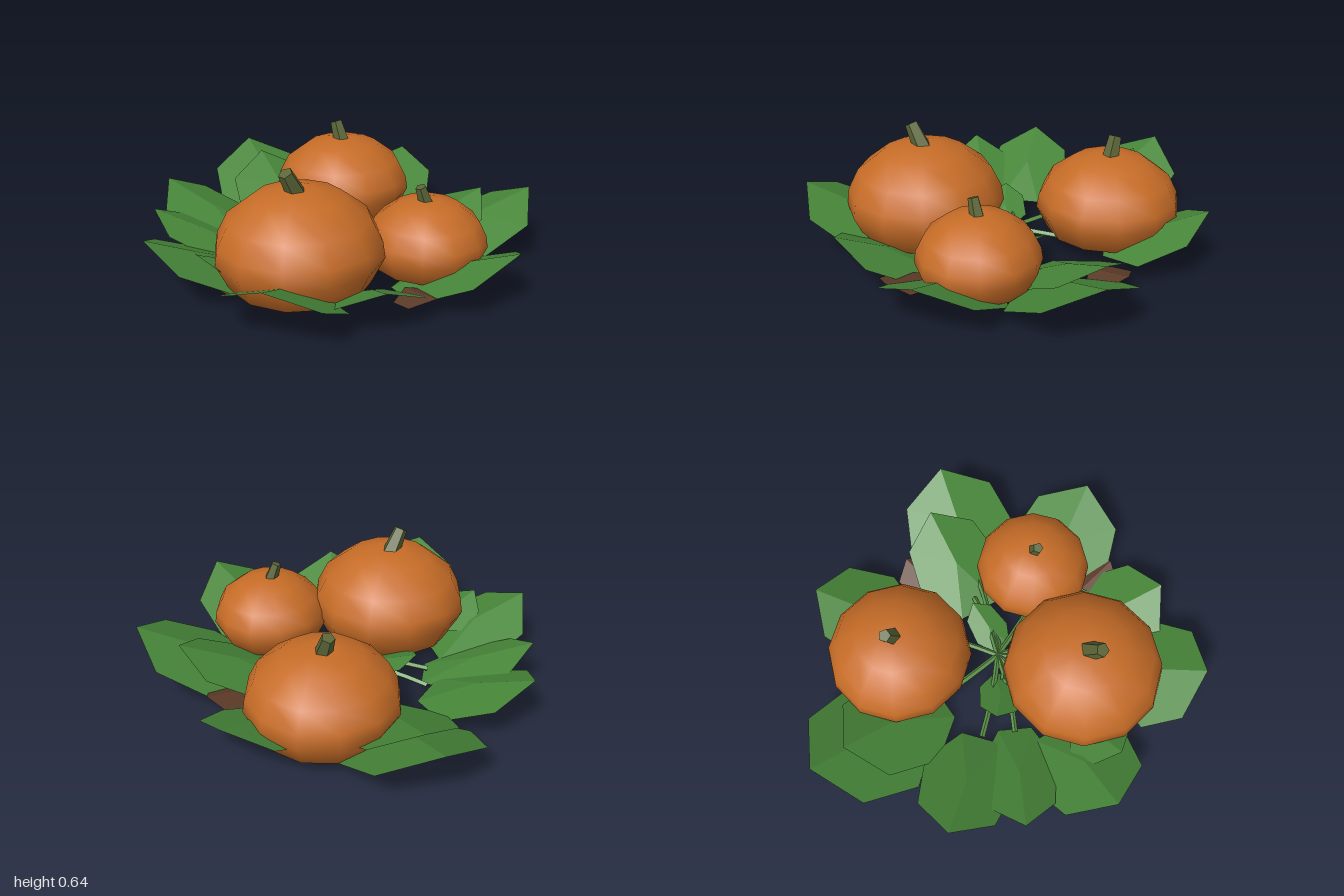
import * as THREE from 'three';

const mat = (color, extra = {}) => new THREE.MeshStandardMaterial({ color, ...extra });

export function createModel() {
  const model = new THREE.Group();
  const orange = mat(0xc66c27);
  const stemGreen = mat(0x5c6638, { flatShading: true });
  const green = mat(0x478639, { flatShading: true, side: THREE.DoubleSide });
  const vineGreen = mat(0x5c9348, { flatShading: true });
  const brown = mat(0x5c3a28, { flatShading: true, side: THREE.DoubleSide });

  const add = (geometry, material, name, parent = model) => {
    const mesh = new THREE.Mesh(geometry, material);
    mesh.name = name;
    parent.add(mesh);
    return mesh;
  };

  // Squat pumpkins: one unit profile scaled by radius and height
  const profile = [[0, 0], [0.5, 0.015], [0.84, 0.15], [1, 0.4], [0.97, 0.55],
    [0.84, 0.75], [0.52, 0.94], [0.2, 1], [0, 0.99]];
  const up = new THREE.Vector3(0, 1, 0);
  function pumpkin(name, x, z, radius, bottom, top, lean, stemRadius) {
    const group = new THREE.Group();
    group.name = name;
    group.position.set(x, bottom, z);
    const height = top - bottom;
    const points = profile.map(([r, h]) => new THREE.Vector2(r * radius, h * height));
    add(new THREE.LatheGeometry(points, 12), orange, 'pumpkinBody', group);

    // Leaning, tapered stem
    const dir = new THREE.Vector3(...lean);
    const stem = add(new THREE.CylinderGeometry(stemRadius * 0.7, stemRadius, dir.length(), 5),
      stemGreen, 'pumpkinStem', group);
    stem.position.set(0, height - 0.04, 0).addScaledVector(dir, 0.5);
    stem.quaternion.setFromUnitVectors(up, dir.normalize());
    model.add(group);
  }
  pumpkin('largePumpkin', -0.125, 0.385, 0.405, 0, 0.53, [-0.045, 0.135, 0.06], 0.05);
  pumpkin('mediumPumpkin', -0.05, -0.55, 0.367, 0.015, 0.48, [-0.04, 0.125, -0.03], 0.046);
  pumpkin('smallPumpkin', 0.455, 0.13, 0.298, 0.02, 0.41, [-0.035, 0.11, 0.02], 0.038);

  // Leaf: a pointed polygon facing outwards, sloping up to its tip and folded along its midrib
  function leaf(name, x, y, z, halfWidth, halfLength, material, sides, slope) {
    const distance = Math.hypot(x, z);
    const geometry = new THREE.CircleGeometry(1, sides, Math.PI / 2);
    const position = geometry.attributes.position;
    for (let i = 0; i < position.count; i++) {
      const across = position.getX(i) * halfWidth;
      const along = position.getY(i) * halfLength;
      const out = distance + along;
      position.setXYZ(i,
        (x * out - z * across) / distance,
        y + slope * along - 0.27 * Math.abs(across),
        (z * out + x * across) / distance);
    }
    // Face the upper side upwards
    const index = geometry.index.array;
    for (let i = 0; i < index.length; i += 3) [index[i], index[i + 1]] = [index[i + 1], index[i]];
    geometry.computeVertexNormals();
    add(geometry, material, name);
  }

  // Name, centre x, y and z, half width, half length
  const leaves = [
    ['backLeftLeaf', -0.5, 0.2, -0.68, 0.33, 0.31],
    ['backLeftUpperLeaf', -0.4, 0.18, -0.55, 0.28, 0.29],
    ['leftLeaf', -0.7, 0.18, -0.19, 0.25, 0.28],
    ['leftLowerLeaf', -0.65, 0.15, 0.07, 0.2, 0.28],
    ['frontLeftLeaf', -0.6, 0.18, 0.39, 0.29, 0.27],
    ['frontLeftUpperLeaf', -0.46, 0.19, 0.46, 0.16, 0.15],
    ['frontLeaf', -0.13, 0.225, 0.78, 0.3, 0.22],
    ['frontRightLeaf', 0.24, 0.15, 0.59, 0.26, 0.23],
    ['rightFrontLeaf', 0.61, 0.16, 0.29, 0.3, 0.31],
    ['rightLeaf', 0.7, 0.19, -0.27, 0.31, 0.29],
    ['rightUpperLeaf', 0.48, 0.16, -0.28, 0.25, 0.28],
    ['backRightLeaf', 0.19, 0.19, -0.74, 0.26, 0.26],
    ['innerLeftLeaf', -0.24, 0.13, -0.03, 0.12, 0.14],
    ['innerRightLeaf', 0.13, 0.12, -0.1, 0.1, 0.14],
  ];

  // Green leaves, each on a vine from the middle to its inner edge
  const hub = new THREE.Vector3(-0.02, 0.1, -0.05);
  for (const [name, x, y, z, halfWidth, halfLength] of leaves) {
    leaf(name, x, y, z, halfWidth, halfLength, green, 7, 0.42);
    const end = new THREE.Vector3(x * 0.65, y - 0.15 * Math.hypot(x, z), z * 0.65);
    const bend = new THREE.Vector3(x * 0.35, 0.09, z * 0.35);
    add(new THREE.TubeGeometry(new THREE.QuadraticBezierCurve3(hub, bend, end), 4, 0.014, 4),
      vineGreen, 'vine');
  }

  // Dry leaves lying low between the green ones
  for (const sx of [-1, 1]) {
    for (const sz of [-1, 1]) leaf('dryLeaf', sx * 0.45, 0.09, sz * 0.48, 0.13, 0.11, brown, 6, 0.15);
  }

  return model;
}
